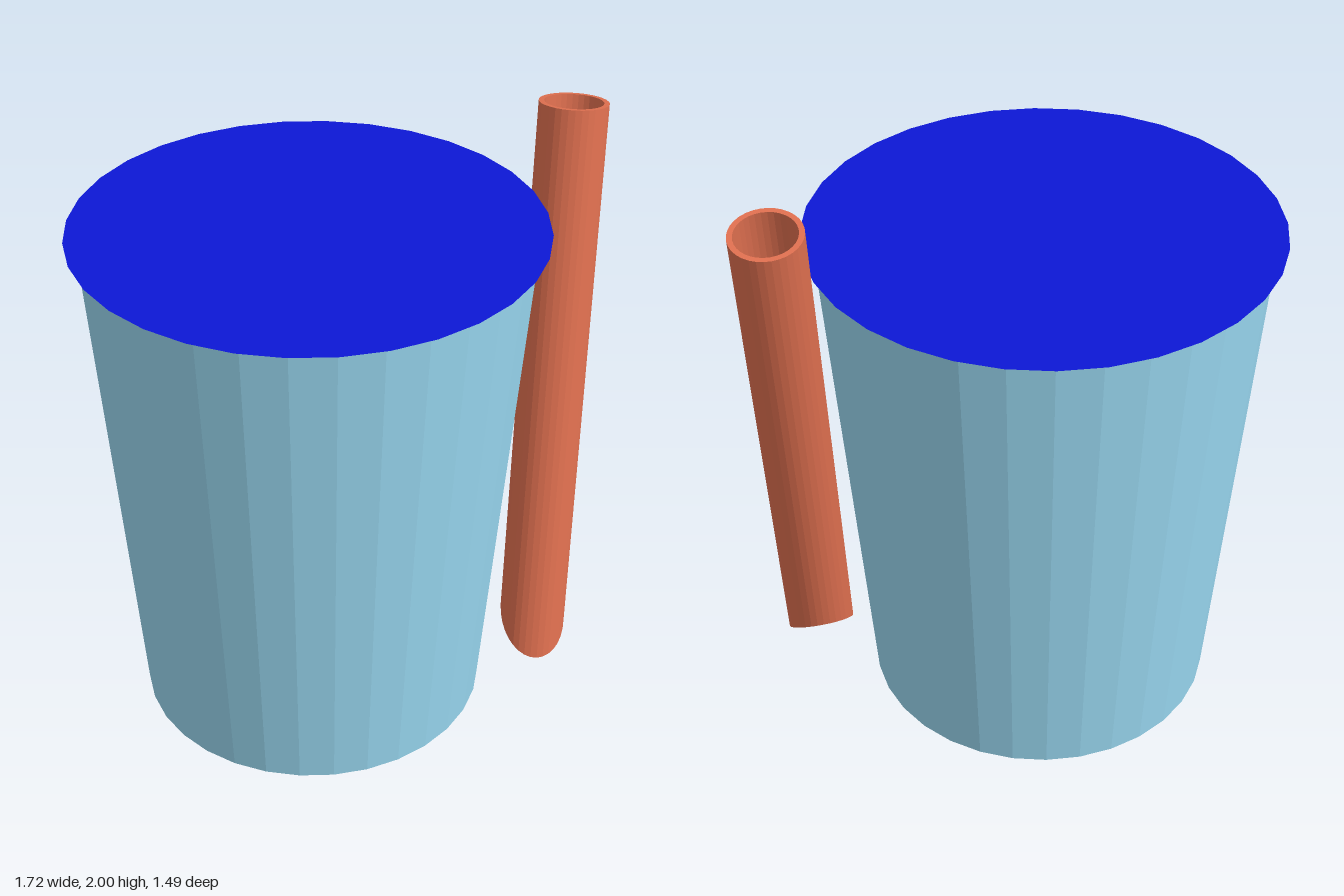
import * as THREE from 'three';

const CUP_X = -0.12, CUP_H = 1.73, SIDES = 32;

function addMesh(group, name, geometry, color, side = THREE.FrontSide) {
  const material = new THREE.MeshStandardMaterial({ color, flatShading: true, side });
  const mesh = new THREE.Mesh(geometry, material);
  mesh.name = name;
  group.add(mesh);
  return mesh;
}

// Hollow straw: square mouth at the top, closed slanted cut at the bottom
function strawGeometry(length, outer, inner, slant) {
  const profile = [
    [0, 0], [outer, 0], [outer, length], [inner, length], [inner, 0.02], [0, 0.02],
  ].map(([x, y]) => new THREE.Vector2(x, y));
  const geometry = new THREE.LatheGeometry(profile, SIDES);
  const pos = geometry.attributes.position;
  for (let i = 0; i < pos.count; i++) {
    if (pos.getY(i) < length / 2) pos.setY(i, pos.getY(i) - slant * pos.getZ(i));
  }
  geometry.computeVertexNormals();
  return geometry;
}

export function createModel() {
  const model = new THREE.Group();
  model.name = 'drinkCup';

  // Tapered cup wall, open at the top under the lid
  const wall = new THREE.CylinderGeometry(0.71, 0.575, CUP_H, SIDES, 1, true);
  addMesh(model, 'cupWall', wall, 0x9ad9f2, THREE.DoubleSide).position.set(CUP_X, CUP_H / 2, 0);

  // Cup base, facing down
  const base = new THREE.CircleGeometry(0.575, SIDES).rotateX(Math.PI / 2);
  addMesh(model, 'cupBase', base, 0x9ad9f2, THREE.DoubleSide).position.x = CUP_X;

  // Flat lid, slightly wider than the rim
  const lid = new THREE.CircleGeometry(0.745, SIDES).rotateX(-Math.PI / 2);
  addMesh(model, 'lid', lid, 0x0d17d6, THREE.DoubleSide).position.set(CUP_X, CUP_H, 0);

  // Leaning straw beside the cup
  const bottom = new THREE.Vector3(0.64, 0.197, 0.07);
  const axis = new THREE.Vector3(0.748, 1.98, -0.25).sub(bottom);
  const straw = addMesh(model, 'straw', strawGeometry(axis.length(), 0.111, 0.094, 1.07), 0xe07050);
  straw.position.copy(bottom);
  straw.quaternion.setFromUnitVectors(new THREE.Vector3(0, 1, 0), axis.normalize());

  return model;
}
